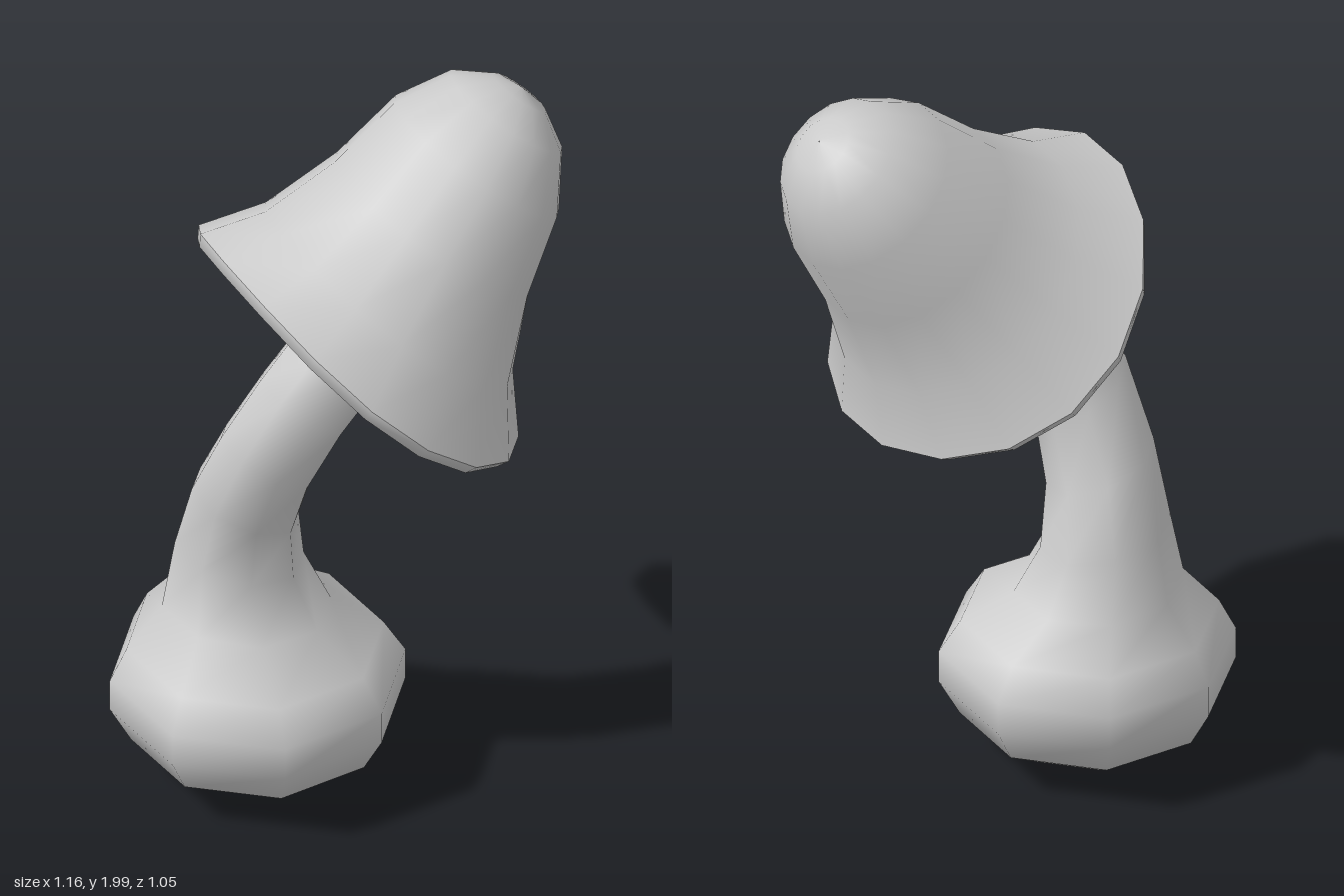
import * as THREE from 'three';

const material = new THREE.MeshStandardMaterial({ color: 0xcccccc, side: THREE.DoubleSide });

// Skins a list of rings (each an array of Vector3) into one smooth surface.
function loft(rings, name) {
  const n = rings[0].length;
  const positions = [];
  const index = [];
  rings.forEach(ring => ring.forEach(p => positions.push(p.x, p.y, p.z)));
  for (let i = 0; i < rings.length - 1; i++) {
    for (let j = 0; j < n; j++) {
      const k = (j + 1) % n;
      const a = i * n + j, b = i * n + k, c = a + n, d = b + n;
      index.push(a, c, b, b, c, d);
    }
  }
  const geometry = new THREE.BufferGeometry();
  geometry.setAttribute('position', new THREE.Float32BufferAttribute(positions, 3));
  geometry.setIndex(index);
  geometry.computeVertexNormals();
  const mesh = new THREE.Mesh(geometry, material);
  mesh.name = name;
  return mesh;
}

// Eight-sided ring around a centre, tilted so its normal leans by (leanX, leanZ).
function stemRing([x, y, z, radius, leanX, leanZ]) {
  const up = new THREE.Vector3(0, 1, 0);
  const normal = new THREE.Vector3(leanX, 1, leanZ).normalize();
  const turn = new THREE.Quaternion().setFromUnitVectors(up, normal);
  return Array.from({ length: 8 }, (_, j) => {
    const t = 0.29 + j * Math.PI / 4;
    return new THREE.Vector3(Math.cos(t) * radius, 0, Math.sin(t) * radius)
      .applyQuaternion(turn).add(new THREE.Vector3(x, y, z));
  });
}

// Sixteen-sided cap ring; droop lowers the two sides of the rim.
function capRing([radius, height, droop, shiftZ]) {
  return Array.from({ length: 16 }, (_, j) => {
    const t = 0.1 + j * Math.PI / 8;
    return new THREE.Vector3(
      Math.cos(t) * radius,
      height - droop * Math.sin(t) ** 2,
      Math.sin(t) * radius * 1.09 + shiftZ);
  });
}

export function createModel() {
  const model = new THREE.Group();
  model.name = 'mushroom';

  // Bulbous foot flowing into a bent stem: x, y, z, radius, lean x, lean z
  const stem = [
    [-0.22, 0.005, -0.125, 0.001, 0, 0],
    [-0.22, 0.04, -0.13, 0.2, 0, 0],
    [-0.22, 0.12, -0.13, 0.33, 0, 0],
    [-0.22, 0.22, -0.13, 0.385, 0, 0],
    [-0.22, 0.31, -0.13, 0.385, 0, 0],
    [-0.225, 0.4, -0.135, 0.335, 0, 0],
    [-0.24, 0.5, -0.155, 0.22, 0.07, 0],
    [-0.25, 0.66, -0.175, 0.172, 0.2, 0.08],
    [-0.258, 0.84, -0.125, 0.15, 0.37, 0.14],
    [-0.243, 1.03, -0.035, 0.138, 0.58, 0.1],
    [-0.163, 1.2, 0.01, 0.134, 0.76, 0.05],
    [-0.068, 1.315, 0.02, 0.134, 0.84, 0],
    [0.06, 1.46, 0.01, 0.134, 0.84, 0],
  ];
  model.add(loft(stem.map(stemRing), 'stem'));

  // Tilted bell-shaped cap
  const cap = new THREE.Group();
  cap.name = 'cap';
  cap.position.set(0.01, 1.356, 0);
  cap.rotation.z = -0.68;

  // Outer skin: radius, height, side droop, z shift
  const skin = [
    [0.482, 0.01, 0.07, 0],
    [0.375, 0.14, 0.03, -0.005],
    [0.295, 0.34, 0, -0.015],
    [0.25, 0.55, 0, -0.025],
    [0.17, 0.69, 0, -0.03],
    [0.08, 0.75, 0, -0.03],
    [0.001, 0.765, 0, -0.03],
  ];
  cap.add(loft(skin.map(capRing), 'capTop'));

  // Hollow underside running out to the turned lip
  const under = [
    [0.001, 0.13, 0, 0],
    [0.15, 0.11, 0, 0],
    [0.32, 0.06, 0.03, 0],
    [0.44, -0.015, 0.065, 0],
    [0.465, -0.02, 0.07, 0],
    [0.482, 0.01, 0.07, 0],
  ];
  cap.add(loft(under.map(capRing), 'capUnderside'));
  model.add(cap);

  return model;
}
